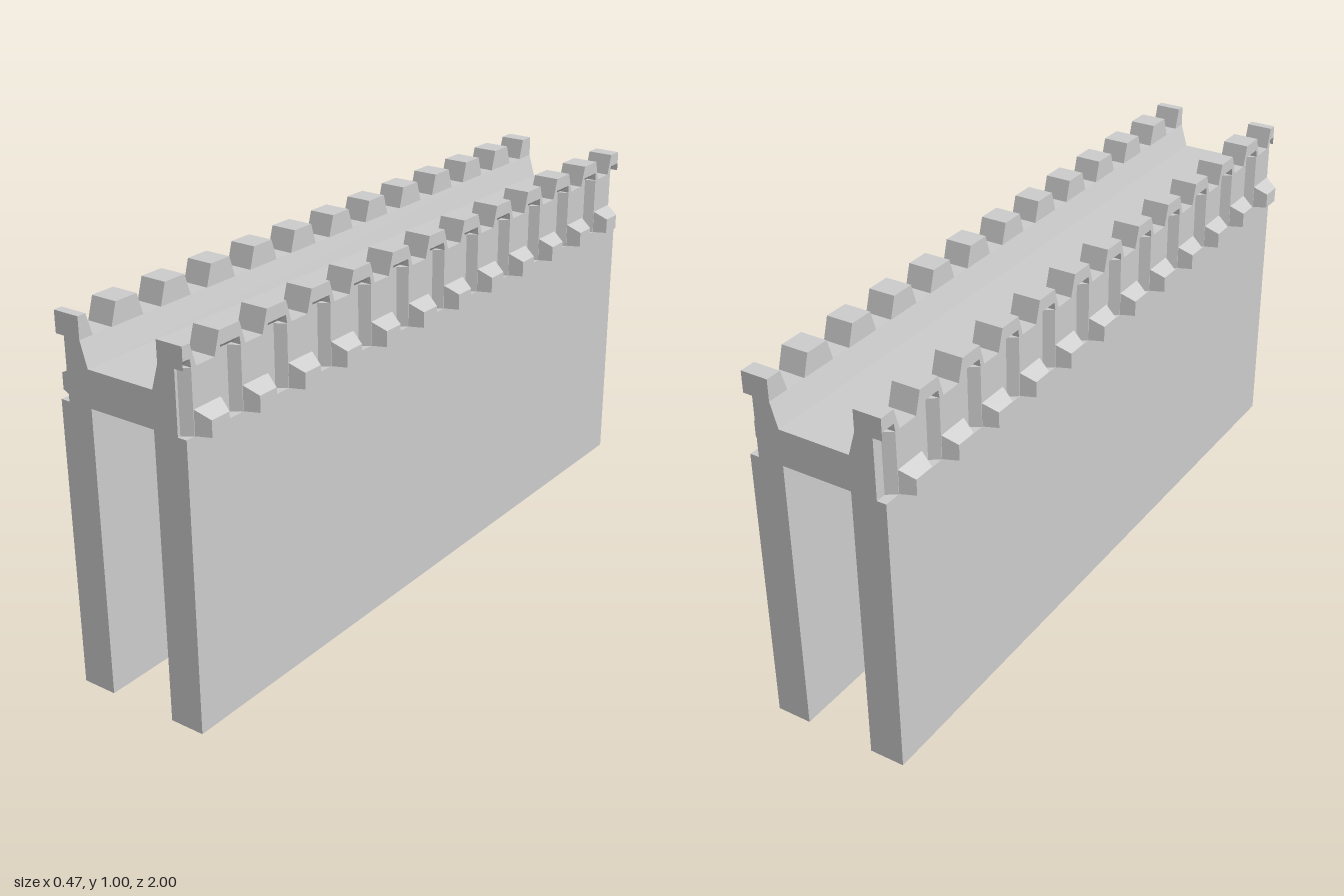
import * as THREE from 'three';
import { ConvexGeometry } from 'three/addons/geometries/ConvexGeometry.js';

const PITCH = 1 / 6, FIRST = 0.927, COUNT = 12;
const OUTER = 0.196, GROOVE = 0.17, INNER = 0.12;   // x of wall face, groove floor, parapet inside
const LEDGE = 0.78, SILL = 0.945, SOFFIT = 0.967, TOP = 1.003;

const material = new THREE.MeshStandardMaterial({ color: 0xcccccc, flatShading: true });

function extrude(points, depth) {
  const shape = new THREE.Shape(points.map(([a, b]) => new THREE.Vector2(a, b)));
  return new THREE.ExtrudeGeometry(shape, { depth, bevelEnabled: false });
}

// Move every vertex of a geometry by a rule
function reshape(geometry, rule) {
  const p = geometry.attributes.position, v = new THREE.Vector3();
  for (let i = 0; i < p.count; i++) {
    rule(v.fromBufferAttribute(p, i));
    p.setXYZ(i, v.x, v.y, v.z);
  }
  geometry.computeVertexNormals();
  return geometry;
}

// Copy on the other side of x = 0, with triangles turned to face outward
function mirrored(geometry) {
  const g = geometry.index ? geometry.toNonIndexed() : geometry.clone();
  const p = g.attributes.position;
  const a = new THREE.Vector3(), b = new THREE.Vector3();
  for (let i = 0; i < p.count; i += 3) {
    a.fromBufferAttribute(p, i + 1);
    b.fromBufferAttribute(p, i + 2);
    p.setXYZ(i, -p.getX(i), p.getY(i), p.getZ(i));
    p.setXYZ(i + 1, -b.x, b.y, b.z);
    p.setXYZ(i + 2, -a.x, a.y, a.z);
  }
  g.computeVertexNormals();
  return g;
}

// Silhouette in (z, y), extruded outward in x and trimmed at the wall ends
function alongX(points, x0, x1, z) {
  const g = extrude(points, x1 - x0);
  g.rotateY(Math.PI / 2);
  g.translate(x0, 0, z);
  return reshape(g, v => { v.z = THREE.MathUtils.clamp(v.z, -1, 1); });
}

export function createModel() {
  const model = new THREE.Group();
  model.name = 'battlementedWall';

  const add = (parent, name, geometry) => {
    const mesh = new THREE.Mesh(geometry, material);
    mesh.name = name;
    parent.add(mesh);
  };
  const addPair = (parent, name, geometry) => {
    add(parent, name + 'Left', geometry);
    add(parent, name + 'Right', mirrored(geometry));
  };

  // Two walls, walkway and parapet bases in one cross-section
  const half = [
    [0.098, LEDGE], [0.098, 0], [OUTER, 0], [OUTER, LEDGE], [GROOVE, LEDGE],
    [GROOVE, SILL], [INNER, SILL], [0.1, 0.878],
  ];
  const section = [...half, ...half.map(([x, y]) => [-x, y]).reverse()];
  const body = extrude(section, 2);
  body.translate(0, 0, -1);
  add(model, 'wallsAndWalkway', body);

  // Merlons: solid core plus an outer cap that overhangs the groove
  const merlons = new THREE.Group();
  merlons.name = 'merlons';
  model.add(merlons);
  const core = [[-0.053, SILL], [0.053, SILL], [0.035, TOP], [-0.035, TOP]];
  const cap = [
    [-0.053, SILL], [-0.037, SILL], [-0.033, SOFFIT], [0.033, SOFFIT],
    [0.037, SILL], [0.053, SILL], [0.035, TOP], [-0.035, TOP],
  ];
  for (let i = 0; i <= COUNT; i++) {
    const z = FIRST + (0.5 - i) * PITCH;
    addPair(merlons, 'merlonCore', alongX(core, INNER, GROOVE, z));
    const capGeometry = reshape(alongX(cap, GROOVE, OUTER, z), v => {
      if (v.x < GROOVE + 0.001 && Math.abs(v.y - SOFFIT) < 0.001) v.y = SILL + 0.002;
    });
    addPair(merlons, 'merlonCap', capGeometry);
  }

  // Splayed panels between grooves, each with a sloped bracket at its foot
  const panels = new THREE.Group();
  panels.name = 'panelsAndBrackets';
  model.add(panels);
  for (let i = 0; i < COUNT; i++) {
    const z = FIRST - i * PITCH;
    const panel = extrude(
      [[GROOVE, -0.065], [OUTER, -0.047], [OUTER, 0.047], [GROOVE, 0.065]], SILL - LEDGE);
    panel.rotateX(-Math.PI / 2);
    panel.translate(0, LEDGE, z);
    addPair(panels, 'panel', panel);

    const corners = [];
    for (const s of [-1, 1]) {
      corners.push(
        new THREE.Vector3(OUTER - 0.004, LEDGE, z + s * 0.047),
        new THREE.Vector3(OUTER - 0.004, 0.847, z + s * 0.047),
        new THREE.Vector3(0.234, LEDGE, z + s * 0.03),
        new THREE.Vector3(0.234, 0.823, z + s * 0.03));
    }
    addPair(panels, 'bracket', new ConvexGeometry(corners));
  }

  return model;
}
